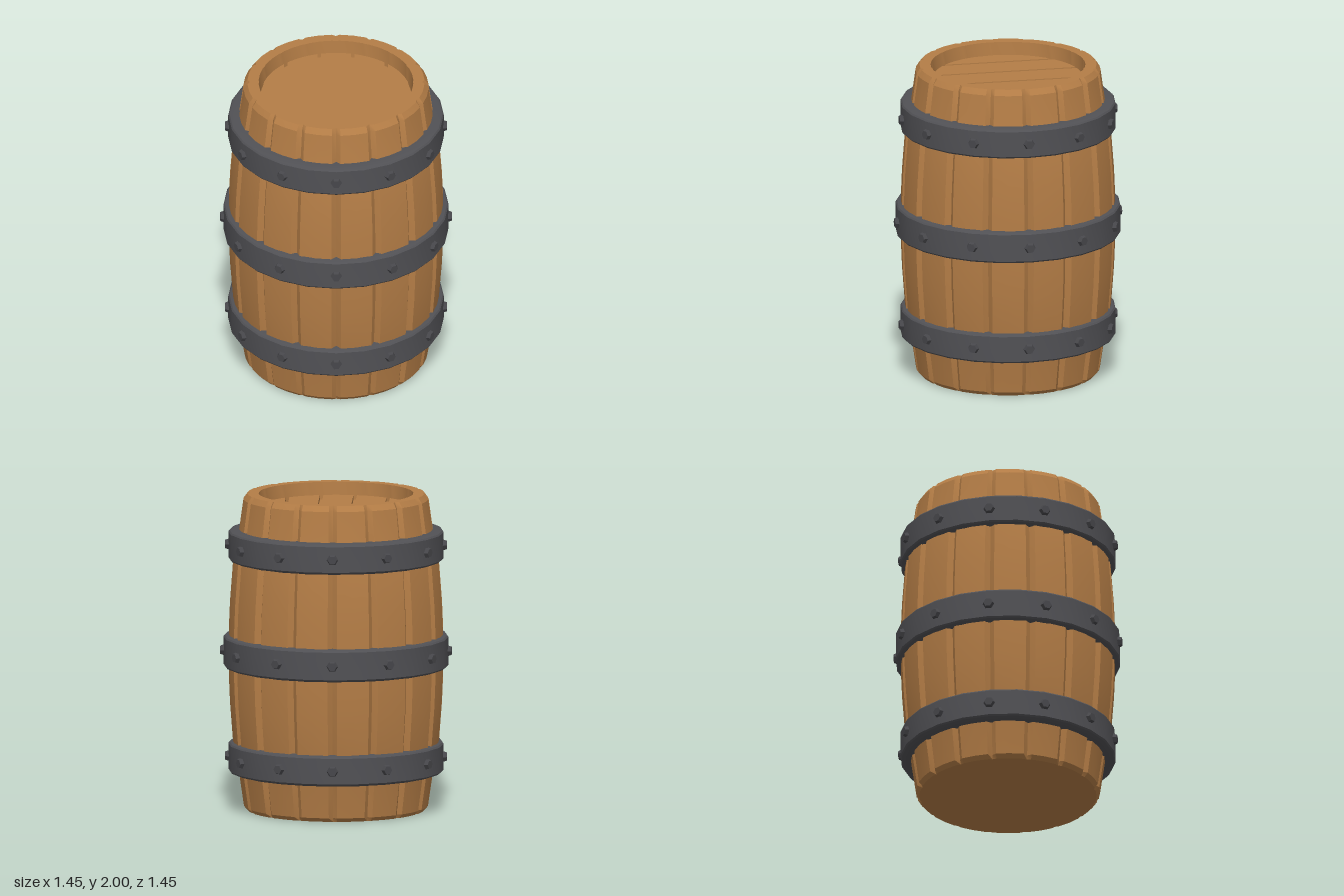
import * as THREE from 'three';
import { toCreasedNormals } from 'three/addons/utils/BufferGeometryUtils.js';

const STAVES = 16, STEP = (Math.PI * 2) / STAVES;

// Lathed cask whose vertices are shifted so that V grooves separate the staves
function staveGeometry() {
  // [radius, height, groove depth]
  const profile = [
    [0, 0, 0], [0.555, 0, 0.008], [0.577, 0.025, 0.02], [0.607, 0.23, 0.025],
    [0.645, 0.43, 0.028], [0.664, 0.68, 0.028], [0.671, 0.85, 0.028], [0.671, 1.15, 0.028],
    [0.664, 1.32, 0.028], [0.645, 1.57, 0.028], [0.607, 1.77, 0.025], [0.58, 1.965, 0.022],
    [0.555, 2, 0.015], [0.485, 2, 0.004], [0.475, 1.89, 0.004], [0, 1.89, 0],
  ];
  const geo = new THREE.LatheGeometry(profile.map(([r, y]) => new THREE.Vector2(r, y)), STAVES * 4);
  const pos = geo.attributes.position, half = 0.045;
  const offsets = [0, half, STEP / 2, STEP - half];
  for (let i = 0; i <= STAVES * 4; i++) {
    const k = i % (STAVES * 4);
    const a = Math.floor(k / 4) * STEP + offsets[k % 4];
    profile.forEach(([r, y, depth], j) => {
      const rr = k % 4 === 0 ? r - depth : r;
      pos.setXYZ(i * profile.length + j, rr * Math.sin(a), y, rr * Math.cos(a));
    });
  }
  return toCreasedNormals(geo, 0.4);
}

// Plank of the lid: a strip of a disc between x0 and x1
function plankGeometry(x0, x1, radius, thickness) {
  const pts = [];
  const N = 8;
  for (let i = 0; i <= N; i++) {
    const x = x0 + ((x1 - x0) * i) / N;
    pts.push(new THREE.Vector2(x, Math.sqrt(Math.max(0, radius * radius - x * x))));
  }
  for (let i = N; i >= 0; i--) pts.push(new THREE.Vector2(pts[i].x, -pts[i].y));
  const geo = new THREE.ExtrudeGeometry(new THREE.Shape(pts), { depth: thickness, bevelEnabled: false });
  return geo.rotateX(-Math.PI / 2);
}

// Iron band with sloping upper and lower edges
function hoopGeometry(r, h) {
  const pts = [
    [r - 0.09, -h], [r - 0.035, -h], [r - 0.008, -h + 0.008], [r, -h + 0.018],
    [r, h - 0.018], [r - 0.008, h - 0.008], [r - 0.035, h], [r - 0.09, h],
  ].map(([x, y]) => new THREE.Vector2(x, y));
  return toCreasedNormals(new THREE.LatheGeometry(pts, 24), 0.5);
}

export function createModel() {
  const wood = new THREE.MeshStandardMaterial({ name: 'oak wood', color: 0xb47d46 });
  const iron = new THREE.MeshStandardMaterial({ name: 'dark iron', color: 0x515155 });
  const boltIron = new THREE.MeshStandardMaterial({ name: 'bolt iron', color: 0x47474b });

  const barrel = new THREE.Group();
  barrel.name = 'barrel';
  const add = (parent, name, geo, mat) => {
    const mesh = new THREE.Mesh(geo, mat);
    mesh.name = name;
    parent.add(mesh);
    return mesh;
  };

  add(barrel, 'staves', staveGeometry(), wood);

  // Recessed lid of five planks
  const lid = new THREE.Group();
  lid.name = 'lid';
  lid.position.y = 1.885;
  barrel.add(lid);
  const R = 0.468, cuts = [-R, -0.315, -0.105, 0.105, 0.315, R];
  for (let i = 0; i < 5; i++) {
    const x0 = cuts[i] + (i > 0 ? 0.011 : 0);
    const x1 = cuts[i + 1] - (i < 4 ? 0.011 : 0);
    add(lid, 'lidPlank', plankGeometry(x0, x1, R, 0.035), wood);
  }

  // Hoops, each with a ring of twelve hexagonal bolts
  const bolt = new THREE.CylinderGeometry(0.028, 0.042, 0.04, 6).toNonIndexed();
  bolt.computeVertexNormals();
  bolt.rotateY(Math.PI / 6).rotateX(Math.PI / 2);
  const hoops = [['lowerHoop', 0.335, 0.675, 0.099], ['middleHoop', 1.005, 0.705, 0.105], ['upperHoop', 1.675, 0.675, 0.099]];
  for (const [name, y, r, h] of hoops) {
    const hoop = new THREE.Group();
    hoop.name = name;
    hoop.position.y = y;
    barrel.add(hoop);
    add(hoop, 'band', hoopGeometry(r, h), iron);
    for (let i = 0; i < 12; i++) {
      const a = (i * Math.PI) / 6;
      const b = add(hoop, 'bolt', bolt, boltIron);
      b.position.set(Math.sin(a) * r, 0, Math.cos(a) * r);
      b.rotation.y = a;
    }
  }
  return barrel;
}
